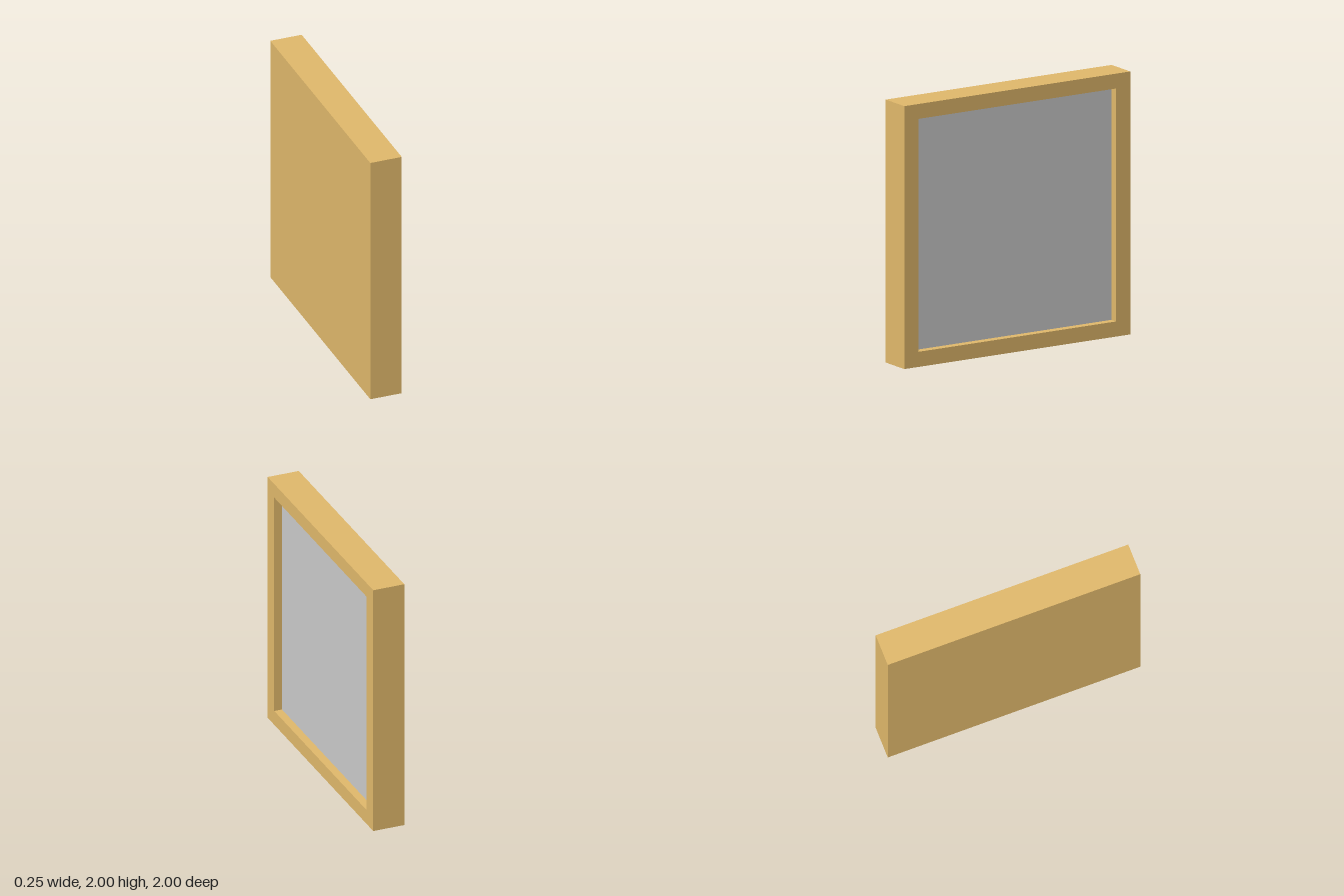
import * as THREE from 'three';

const SIZE = 2, HALF_T = 0.125;   // outer square and half thickness (along x)
const BACK_X = 0.04;              // where the backing ends and the rim begins
const PANEL_X = 0.0625;           // surface of the recessed panel
const HOLE_W = 1.75, HOLE_Y0 = 0.115, HOLE_Y1 = 1.887;

export function createModel() {
  const group = new THREE.Group();
  const wood = new THREE.MeshStandardMaterial({ color: 0xe1b96b });
  const grey = new THREE.MeshStandardMaterial({ color: 0xcccccc });

  const add = (name, geometry, material) => {
    const mesh = new THREE.Mesh(geometry, material);
    mesh.name = name;
    group.add(mesh);
  };
  // box spanning x0..x1 and y0..y1, centred on z
  const slab = (x0, x1, y0, y1, width) =>
    new THREE.BoxGeometry(x1 - x0, y1 - y0, width)
      .translate((x0 + x1) / 2, (y0 + y1) / 2, 0);
  const rectangle = (path, w, y0, y1) => path
    .moveTo(-w / 2, y0).lineTo(w / 2, y0)
    .lineTo(w / 2, y1).lineTo(-w / 2, y1).closePath();

  // solid wooden back
  add('backing', slab(-HALF_T, BACK_X, 0, SIZE, SIZE), wood);

  // raised rim around the opening, facing +x
  const outline = new THREE.Shape();
  rectangle(outline, SIZE, 0, SIZE);
  const opening = new THREE.Path();
  rectangle(opening, HOLE_W, HOLE_Y0, HOLE_Y1);
  outline.holes.push(opening);
  const rim = new THREE.ExtrudeGeometry(outline, { depth: HALF_T - BACK_X, bevelEnabled: false });
  rim.rotateY(Math.PI / 2).translate(BACK_X, 0, 0);
  add('frame', rim, wood);

  // grey panel set into the opening
  add('panel', slab(BACK_X, PANEL_X, HOLE_Y0, HOLE_Y1, HOLE_W), grey);

  return group;
}
